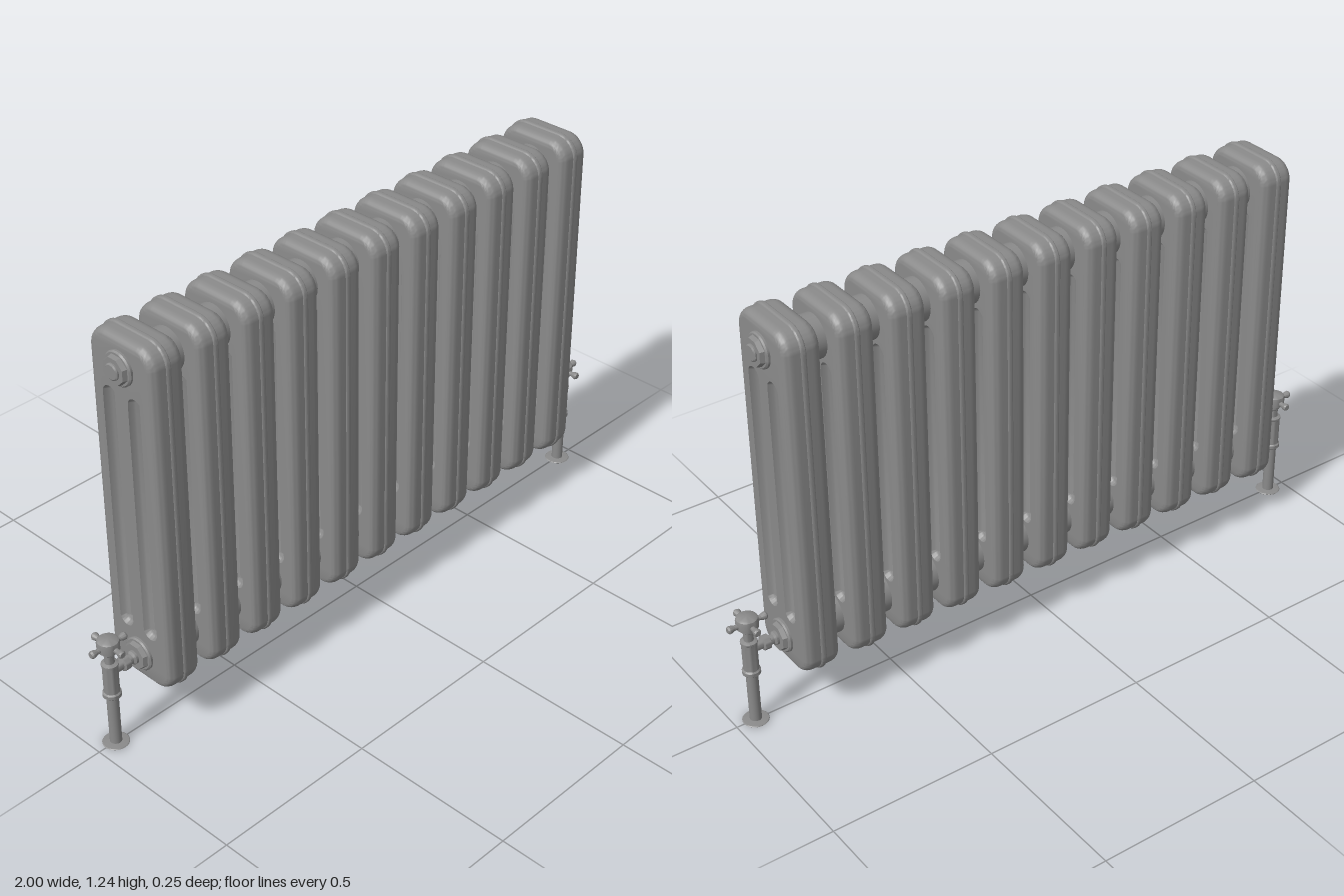
import * as THREE from 'three';
import { toCreasedNormals } from 'three/addons/utils/BufferGeometryUtils.js';

const SECTIONS = 11, PITCH = 0.156, WIDTH = 0.108;
const MID_Y = 0.696, TOP_Y = 1.147, LOW_Y = 0.247, END_X = 0.834;
const GROOVE = { z: 0.047, halfLength: 0.352, radius: 0.026, slot: 0.006, depth: 0.021 };
const material = new THREE.MeshStandardMaterial({ color: 0x8a8a8a });

function add(parent, name, geometry, x = 0, y = 0, z = 0) {
  const mesh = new THREE.Mesh(geometry, material);
  mesh.name = name;
  mesh.position.set(x, y, z);
  parent.add(mesh);
  return mesh;
}

// Rounded rectangle centred on (cx, 0); also used for the groove openings
function roundedRect(target, cx, halfW, halfH, r) {
  target.moveTo(cx + halfW, -halfH + r);
  target.lineTo(cx + halfW, halfH - r);
  target.absarc(cx + halfW - r, halfH - r, r, 0, Math.PI / 2);
  target.lineTo(cx - halfW + r, halfH);
  target.absarc(cx - halfW + r, halfH - r, r, Math.PI / 2, Math.PI);
  target.lineTo(cx - halfW, -halfH + r);
  target.absarc(cx - halfW + r, -halfH + r, r, Math.PI, Math.PI * 1.5);
  target.lineTo(cx + halfW - r, -halfH);
  target.absarc(cx + halfW - r, -halfH + r, r, -Math.PI / 2, 0);
  return target;
}

// Extrude a side outline to a total thickness along x, rounding its edges
function slab(shape, thickness, bevelSize, bevelThickness, bevelSegments) {
  const depth = thickness - 2 * bevelThickness;
  const g = new THREE.ExtrudeGeometry(shape, {
    depth, bevelEnabled: true, bevelSize, bevelThickness, bevelSegments,
    bevelOffset: -bevelSize, curveSegments: 8,
  });
  return g.translate(0, 0, -depth / 2).rotateY(Math.PI / 2);
}

// Depth of the hollow at distance d from a groove's centre line
const hollow = d => GROOVE.depth * Math.sqrt(Math.max(0, 1 - (d / GROOVE.radius) ** 2));

// Turn the walls of the groove openings into shallow round hollows
function hollowGrooves(g) {
  const p = g.attributes.position;
  for (let i = 0; i < p.count; i++) {
    const dy = Math.max(0, Math.abs(p.getY(i)) - GROOVE.halfLength);
    const d = Math.hypot(Math.abs(p.getZ(i)) - GROOVE.z, dy);
    if (d < GROOVE.radius + 0.0005) p.setX(i, Math.sign(p.getX(i)) * (WIDTH / 2 - hollow(d)));
  }
  return g;
}

// Turned part along y from [radius, height] pairs
function turned(points, sides = 24) {
  const g = new THREE.LatheGeometry(points.map(p => new THREE.Vector2(...p)), sides);
  return toCreasedNormals(g, 0.6);
}

// Turned part lying along +x
const turnedX = (points, sides) => turned(points, sides).rotateZ(-Math.PI / 2);

function buildSections(root) {
  // Column body with two hollow grooves on each face
  const outline = roundedRect(new THREE.Shape(), 0, 0.119, 0.534, 0.06);
  for (const s of [-1, 1]) {
    outline.holes.push(roundedRect(new THREE.Path(), s * GROOVE.z, GROOVE.slot,
      GROOVE.halfLength + GROOVE.slot, GROOVE.slot * 0.98));
  }
  const body = toCreasedNormals(hollowGrooves(slab(outline, WIDTH, 0.02, 0.027, 6)), 0.6);
  const ridge = roundedRect(new THREE.Shape(), 0, 0.124, 0.539, 0.065);
  const seam = toCreasedNormals(slab(ridge, 0.016, 0.005, 0.006, 4), 0.9);
  const web = new THREE.BoxGeometry(WIDTH - 2 * hollow(GROOVE.slot), 0.73, 0.12);
  const joint = new THREE.CylinderGeometry(0.062, 0.062, PITCH, 32, 1, true).rotateZ(Math.PI / 2);

  for (let i = 0; i < SECTIONS; i++) {
    const section = new THREE.Group();
    section.name = 'section';
    section.position.set((i - (SECTIONS - 1) / 2) * PITCH, MID_Y, 0);
    root.add(section);
    add(section, 'columnBody', body);
    add(section, 'seamRidge', seam);
    add(section, 'grooveFloor', web);
    if (i < SECTIONS - 1) {
      add(section, 'upperJoint', joint, PITCH / 2, 0.439);
      add(section, 'lowerJoint', joint, PITCH / 2, -0.439);
    }
  }
}

// Round washer with an eight-sided nut
function addBush(parent, y) {
  add(parent, 'washer', turnedX([[0, -0.005], [0.05, -0.005], [0.05, 0.006], [0.046, 0.01], [0, 0.01]], 32), END_X, y);
  const nut = new THREE.CylinderGeometry(0.039, 0.043, 0.014, 8).toNonIndexed();
  nut.computeVertexNormals();
  nut.rotateY(Math.PI / 8).rotateZ(-Math.PI / 2);
  add(parent, 'nut', nut, END_X + 0.016, y);
}

function buildValve(parent) {
  const valve = new THREE.Group();
  valve.name = 'valve';
  valve.position.x = 0.94;
  parent.add(valve);

  add(valve, 'floorPlate', turned([[0, 0], [0.036, 0], [0.038, 0.002], [0.036, 0.004], [0.02, 0.006], [0, 0.006]]));
  add(valve, 'supplyPipe', new THREE.CylinderGeometry(0.017, 0.017, 0.17, 24), 0, 0.087, 0);
  add(valve, 'valveBody', turned([[0, 0.163], [0.022, 0.163], [0.026, 0.167], [0.026, 0.178], [0.022, 0.182],
    [0.022, 0.268], [0.024, 0.27], [0.024, 0.276], [0.014, 0.28], [0.014, 0.305], [0.019, 0.31],
    [0.019, 0.318], [0, 0.318]]));

  // Horizontal tail from the radiator to the valve
  add(valve, 'tailPipe', turnedX([[0.02, -0.088], [0.02, -0.076], [0.014, -0.071], [0.014, -0.061],
    [0.021, -0.058], [0.021, -0.04], [0.014, -0.037], [0.014, 0]]), 0, LOW_Y, 0);

  // Cross handle with four flared arms
  const handle = new THREE.Group();
  handle.name = 'handle';
  handle.position.y = 0.336;
  valve.add(handle);
  add(handle, 'hub', turned([[0, -0.02], [0.02, -0.02], [0.031, -0.012], [0.032, 0.01], [0.03, 0.018],
    [0.024, 0.022], [0, 0.024]]));
  const arm = turnedX([[0.008, 0.02], [0.0075, 0.04], [0.0105, 0.048], [0.0115, 0.055], [0.0085, 0.06], [0, 0.06]], 12);
  for (let i = 0; i < 4; i++) add(handle, 'handleArm', arm).rotation.y = i * Math.PI / 2;
}

function buildEnd(root, name, turn) {
  const end = new THREE.Group();
  end.name = name;
  end.rotation.y = turn;
  root.add(end);
  // Blanking plug above, valve connection below
  addBush(end, TOP_Y);
  add(end, 'plugCap', turnedX([[0.024, 0], [0.024, 0.005], [0.02, 0.008], [0, 0.008]]), END_X + 0.022, TOP_Y);
  addBush(end, LOW_Y);
  buildValve(end);
}

export function createModel() {
  const root = new THREE.Group();
  root.name = 'radiator';
  buildSections(root);
  buildEnd(root, 'leftEnd', 0);
  buildEnd(root, 'rightEnd', Math.PI);
  return root;
}
